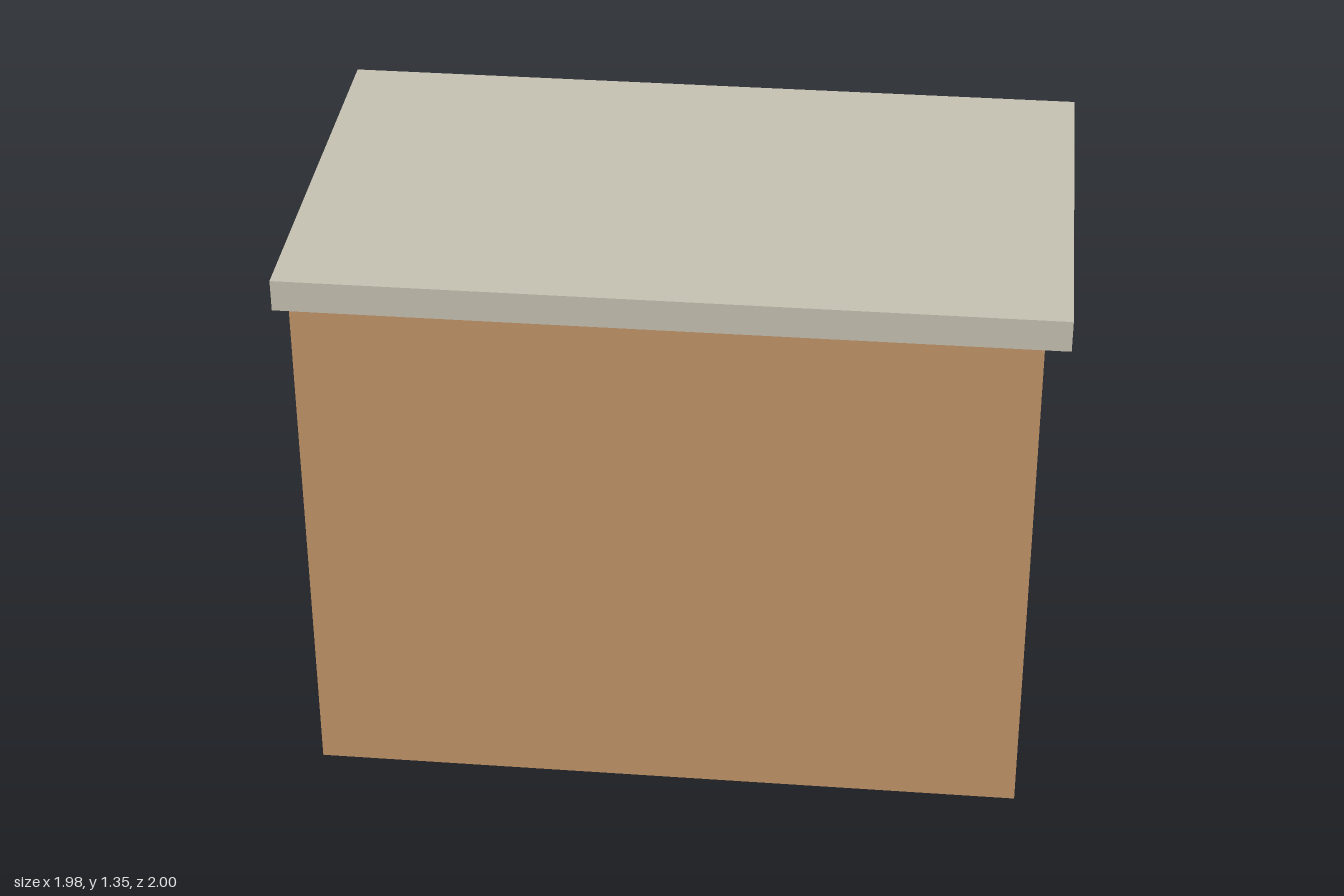
import * as THREE from 'three';

export function createModel() {
  const wood = new THREE.MeshStandardMaterial({ color: 0xc4956a });
  wood.name = 'wood';
  const stone = new THREE.MeshStandardMaterial({ color: 0xc8c4b4 });
  stone.name = 'stone';
  const metal = new THREE.MeshStandardMaterial({ color: 0x3a3f40 });
  metal.name = 'dark metal';

  // The cabinet stands turned on the floor; its doors face local -z
  const model = new THREE.Group();
  model.name = 'cabinet';
  const cabinet = new THREE.Group();
  cabinet.name = 'turnedCabinet';
  cabinet.rotation.y = THREE.MathUtils.degToRad(46);
  model.add(cabinet);

  const add = (name, geometry, material, x, y, z) => {
    const mesh = new THREE.Mesh(geometry, material);
    mesh.name = name;
    mesh.position.set(x, y, z);
    cabinet.add(mesh);
  };

  // Carcass and overhanging worktop
  add('body', new THREE.BoxGeometry(1.676, 1.27, 0.968), wood, -0.0126, 0.635, 0.0136);
  add('worktop', new THREE.BoxGeometry(1.765, 0.075, 1.047), stone, 0, 1.3075, 0);

  // Two doors, each with an upright bar handle
  const doorDepth = 0.042;
  const faceZ = 0.0136 - 0.484;
  [['left', 0.353], ['right', -0.441]].forEach(([side, x]) => {
    add(side + 'Door', new THREE.BoxGeometry(0.752, 1.15, doorDepth), wood,
      x, 0.635, faceZ - doorDepth / 2);
    add(side + 'Handle', new THREE.CylinderGeometry(0.015, 0.015, 0.325, 16), metal,
      x + 0.218, 0.62, -0.557);
  });

  return model;
}
